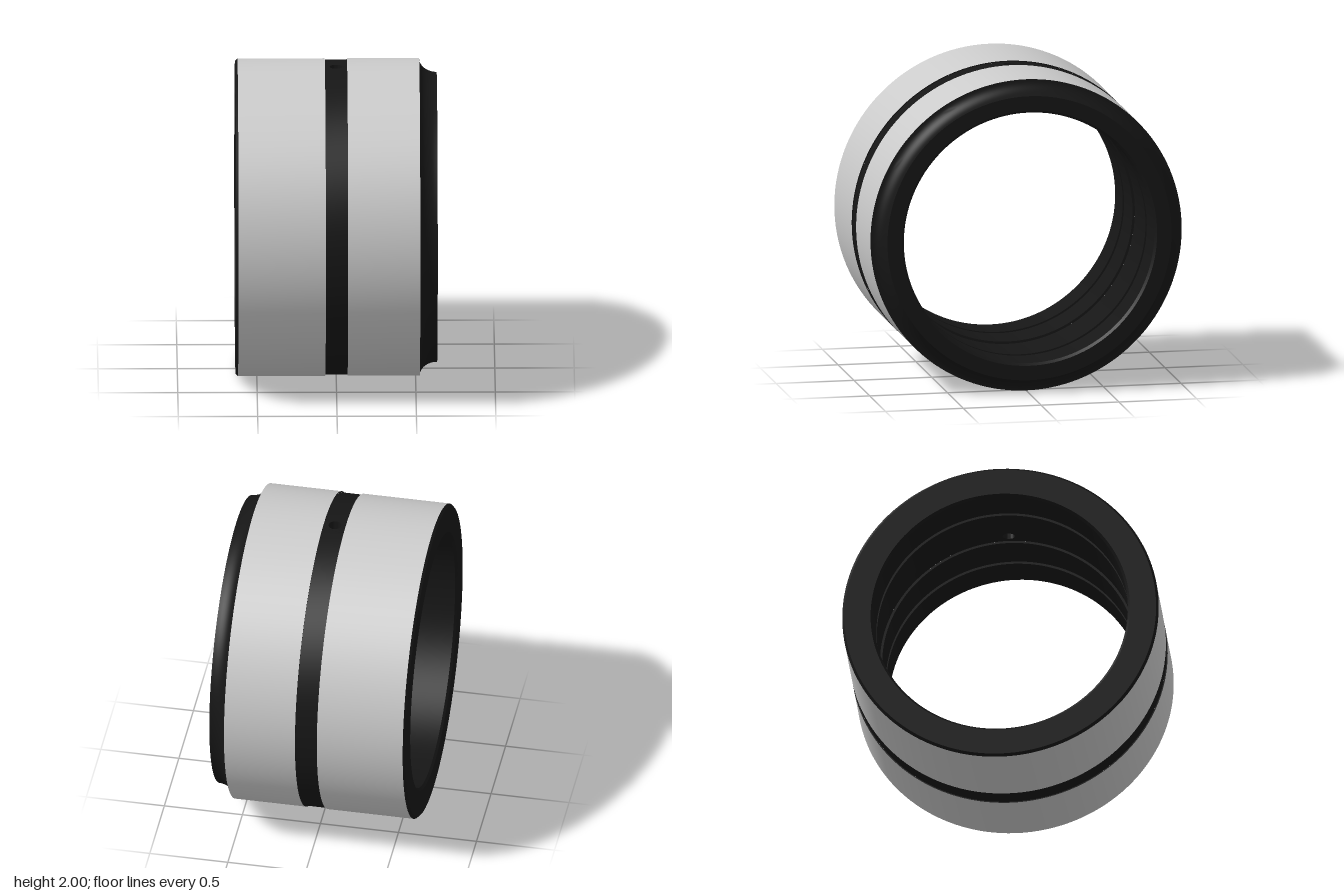
import * as THREE from 'three';
import { toCreasedNormals } from 'three/addons/utils/BufferGeometryUtils.js';

const SEGMENTS = 128;
const HALF = 0.635;          // half the length of the bushing
const GROOVE = 0.07;         // half width of the oil grooves
const R_OUT = 0.993, R_IN = 0.82; // floors of the outer and inner oil grooves
const PATCH = 0.07;          // half size of the wall piece around the oil hole

const grey = new THREE.MeshStandardMaterial({ color: 0xcccccc });
const black = new THREE.MeshStandardMaterial({ color: 0x161616 });

// Turn a profile of [radius, x] points about the x axis, leaving an optional gap at the top
function turned(name, profile, material, gap = 0) {
  const points = profile.map(([r, x]) => new THREE.Vector2(r, x));
  const geometry = new THREE.LatheGeometry(points, SEGMENTS, Math.PI * 1.5 + gap, Math.PI * 2 - 2 * gap);
  geometry.rotateZ(-Math.PI / 2);
  const mesh = new THREE.Mesh(toCreasedNormals(geometry, 0.5), material);
  mesh.name = name;
  return mesh;
}

// Bore with a narrow seal groove, from the rim to the central groove
const bore = (s) => [
  [0.82, s * HALF], [0.805, s * 0.62],
  [0.805, s * 0.38], [0.82, s * 0.38], [0.82, s * 0.34], [0.805, s * 0.34],
  [0.805, s * GROOVE], [R_IN, s * GROOVE],
];

// Piece of wall around the oil hole, bent to the curve of the bushing
function oilHole() {
  const shape = new THREE.Shape();
  shape.moveTo(-PATCH, -GROOVE);
  for (let i = 1; i <= 8; i++) shape.lineTo(-PATCH + (PATCH * i) / 4, -GROOVE);
  for (let i = 0; i <= 8; i++) shape.lineTo(PATCH - (PATCH * i) / 4, GROOVE);
  shape.closePath();
  const hole = new THREE.Path();
  hole.absarc(0, 0, 0.04, 0, Math.PI * 2, true);
  shape.holes.push(hole);
  const geometry = new THREE.ExtrudeGeometry(shape, {
    depth: R_OUT - R_IN, bevelEnabled: false, curveSegments: 16,
  });
  const p = geometry.attributes.position;
  for (let i = 0; i < p.count; i++) {
    const z = p.getX(i), r = R_IN + p.getZ(i);
    p.setXYZ(i, p.getY(i), Math.sqrt(r * r - z * z), z);
  }
  const mesh = new THREE.Mesh(toCreasedNormals(geometry, 0.5), black);
  mesh.name = 'oilHole';
  return mesh;
}

export function createModel() {
  const bushing = new THREE.Group();
  bushing.name = 'bushing';

  // Ground outer surfaces
  bushing.add(
    turned('leftOuterBand', [[1, GROOVE], [1, 0.525]], grey),
    turned('rightOuterBand', [[1, -0.62], [1, -GROOVE]], grey),
  );

  // Shoulder with a concave fillet, then the end face and bore
  const fillet = [];
  for (let i = 0; i <= 12; i++) {
    const a = (i / 12) * Math.PI / 2;
    fillet.push([1 - 0.087 * Math.sin(a), HALF - 0.11 * Math.cos(a)]);
  }
  bushing.add(turned('filletedEnd', [...fillet, ...bore(1)], black));

  // Flat end with a small outer chamfer
  bushing.add(turned('flatEnd', [...bore(-1).reverse(), [0.985, -HALF], [1, -0.62]], black));

  // Central oil grooves, outside and inside, interrupted at the oil hole
  bushing.add(
    turned('outerGroove', [[R_OUT, -GROOVE], [R_OUT, GROOVE]], black, Math.asin(PATCH / R_OUT)),
    turned('innerGroove', [[R_IN, GROOVE], [R_IN, -GROOVE]], black, Math.asin(PATCH / R_IN)),
    turned('grooveWallRight', [[1, -GROOVE], [R_OUT, -GROOVE]], black),
    turned('grooveWallLeft', [[R_OUT, GROOVE], [1, GROOVE]], black),
    oilHole(),
  );

  bushing.position.y = 1;
  const model = new THREE.Group();
  model.add(bushing);
  return model;
}
